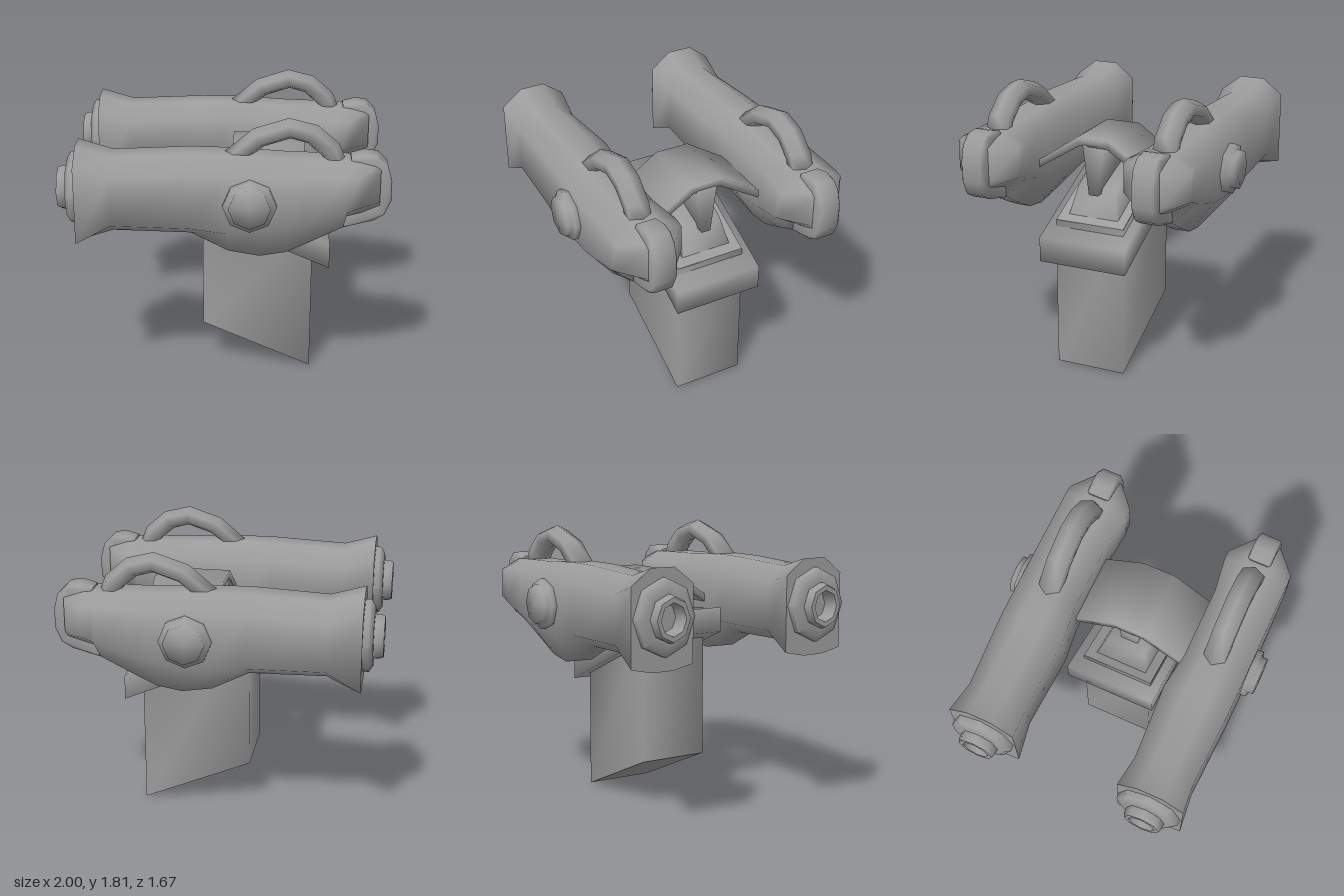
import * as THREE from 'three';
import { toCreasedNormals } from 'three/addons/utils/BufferGeometryUtils.js';

const material = new THREE.MeshStandardMaterial({ color: 0x9c9c9c });
const SLOPE = 0.43; // tilt shared by all mount parts

// Most parts are shaded smoothly, even around square corners
function part(parent, name, geometry, crease = 2) {
  const mesh = new THREE.Mesh(toCreasedNormals(geometry, crease), material);
  mesh.name = name;
  parent.add(mesh);
  return mesh;
}

// Skin over cross-sections of equal point count, with both ends capped
function loft(rings) {
  const n = rings[0].length, index = [];
  for (let i = 0; i < rings.length - 1; i++)
    for (let j = 0; j < n; j++) {
      const a = i * n + j, b = i * n + (j + 1) % n;
      index.push(a, b, a + n, b, b + n, a + n);
    }
  const end = (rings.length - 1) * n;
  for (let j = 1; j < n - 1; j++) index.push(0, j + 1, j, end, end + j, end + j + 1);
  const g = new THREE.BufferGeometry();
  g.setAttribute('position', new THREE.Float32BufferAttribute(rings.flat(2), 3));
  g.setIndex(index);
  return g.toNonIndexed();
}

// Box around x = 0.2, narrowed at the top and sheared along the slope; may be left open above and below
function slopedBox(x, z, bottom, top, taper = 1, open = false) {
  const box = new THREE.BoxGeometry(x, top - bottom, z);
  if (open) box.setIndex([...box.index.array].filter((v, i) => i < 12 || i >= 24));
  const g = box.toNonIndexed(), p = g.attributes.position;
  for (let i = 0; i < p.count; i++) {
    const k = p.getY(i) > 0 ? taper : 1;
    const px = p.getX(i) * k;
    p.setXYZ(i, px + 0.2, p.getY(i) + (top + bottom) / 2 - px * SLOPE, p.getZ(i) * k);
  }
  return g;
}

function extrude(points, depth, bevel = 0) {
  const shape = new THREE.Shape(points.map(([x, y]) => new THREE.Vector2(x, y)));
  return new THREE.ExtrudeGeometry(shape, {
    depth, bevelEnabled: bevel > 0, bevelSize: bevel, bevelThickness: bevel, bevelSegments: 1,
  }).translate(0, 0, -depth / 2);
}

function lathe(points) {
  return new THREE.LatheGeometry(points.map(([r, h]) => new THREE.Vector2(r, h)), 8);
}

// Six-sided bar with a ridge on top, following points in the xy plane
function ridgedBar(path, height, width) {
  return loft(path.map(([x, y], i) => {
    const [x0, y0] = path[Math.max(i - 1, 0)];
    const [x1, y1] = path[Math.min(i + 1, path.length - 1)];
    const t = Math.atan2(y1 - y0, x1 - x0);
    return [0, 1, 2, 3, 4, 5].map((s) => {
      const up = Math.cos(s * Math.PI / 3) * height;
      return [x - Math.sin(t) * up, y + Math.cos(t) * up, Math.sin(s * Math.PI / 3) * width];
    });
  }));
}

function makeGun(side) {
  const gun = new THREE.Group();
  gun.name = side > 0 ? 'frontGun' : 'rearGun';

  // Barrel stations: x, bottom, lower side, shoulder, top, outer and inner half width, keel half width
  const stations = [
    [-0.88, 1.04, 1.07, 1.54, 1.64, 0.21, 0.21, 0.07],
    [-0.67, 1.11, 1.18, 1.48, 1.58, 0.19, 0.19, 0.07],
    [-0.20, 1.10, 1.18, 1.51, 1.60, 0.21, 0.212, 0.07],
    [0.03, 0.975, 1.15, 1.51, 1.60, 0.212, 0.18, 0.05],
    [0.22, 0.94, 1.17, 1.51, 1.59, 0.212, 0.18, 0.04],
    [0.38, 0.97, 1.19, 1.51, 1.58, 0.212, 0.18, 0.045],
    [0.50, 1.03, 1.22, 1.51, 1.577, 0.212, 0.18, 0.05],
    [0.72, 1.15, 1.29, 1.51, 1.57, 0.212, 0.21, 0.07],
    [0.735, 1.22, 1.30, 1.51, 1.57, 0.212, 0.21, 0.07],
    [0.79, 1.24, 1.32, 1.50, 1.565, 0.21, 0.21, 0.08],
    [0.93, 1.27, 1.32, 1.51, 1.55, 0.09, 0.09, 0.06],
  ];
  part(gun, 'barrelBody', loft(stations.map(([x, b, low, sh, t, outer, inner, k]) => {
    const [zp, zn] = side > 0 ? [outer, inner] : [inner, outer];
    return [
      [x, t, -zn * 0.38], [x, t, zp * 0.38], [x, sh, zp], [x, low, zp],
      [x, b, k], [x, b, -k], [x, low, -zn], [x, sh, -zn],
    ];
  })), 1.5);

  // Stepped muzzle with a hollow bore, a little taller than wide
  const muzzle = lathe([
    [0, 0.84], [0.2, 0.84], [0.2, 0.915], [0.165, 0.94], [0.122, 0.94],
    [0.122, 0.975], [0.112, 1], [0.085, 1], [0.075, 0.9], [0, 0.9],
  ]);
  part(gun, 'muzzle', muzzle.rotateZ(Math.PI / 2).scale(1, 1.15, 1), 1).position.y = 1.355;

  // Curved pad wrapping the tail
  part(gun, 'tailPad', extrude([
    [0.77, 1.52], [0.77, 1.57], [0.84, 1.59], [0.91, 1.58], [0.96, 1.53], [0.985, 1.44],
    [0.985, 1.32], [0.95, 1.24], [0.89, 1.205], [0.73, 1.16], [0.74, 1.24], [0.9, 1.3], [0.9, 1.5],
  ].reverse(), 0.12, 0.015), 1.2);

  // Carrying handle on top
  part(gun, 'handle', ridgedBar([
    [0.02, 1.53], [0.205, 1.685], [0.39, 1.745], [0.525, 1.71], [0.635, 1.615], [0.68, 1.5],
  ], 0.063, 0.081));

  // Octagonal pivot bolt on the outer side
  const bolt = lathe([[0, 0.19], [0.16, 0.19], [0.16, 0.245], [0.125, 0.255], [0.125, 0.285], [0, 0.285]]);
  part(gun, 'pivotBolt', bolt.rotateX(side * Math.PI / 2)).position.set(0.16, 1.335, 0);

  gun.position.z = side * 0.55;
  return gun;
}

export function createModel() {
  const model = new THREE.Group();
  model.name = 'twinGunTurret';

  // Mount: soft column walls around a core that closes both cut ends, collar and tapered head
  part(model, 'columnWalls', slopedBox(0.7, 0.46, 0.15, 1.13, 1, true));
  part(model, 'columnCore', slopedBox(0.695, 0.455, 0.15, 1.13), 0.5);
  part(model, 'collar', slopedBox(0.92, 0.58, 0.928, 1.088));
  part(model, 'head', slopedBox(0.62, 0.36, 1.08, 1.28, 0.72));

  // Bent strap carrying both guns, with a web down to the head
  const toX = (g) => g.rotateY(Math.PI / 2).translate(0.262, 0, 0);
  part(model, 'yoke', toX(extrude([
    [-0.38, 1.28], [-0.38, 1.33], [-0.11, 1.51], [0.11, 1.51], [0.38, 1.33],
    [0.38, 1.28], [0.09, 1.46], [-0.09, 1.46],
  ].reverse(), 0.45)));
  part(model, 'yokeWeb', toX(extrude([[-0.03, 1.15], [0.03, 1.15], [0.07, 1.47], [-0.07, 1.47]], 0.45)));

  for (const side of [1, -1]) model.add(makeGun(side));
  return model;
}
